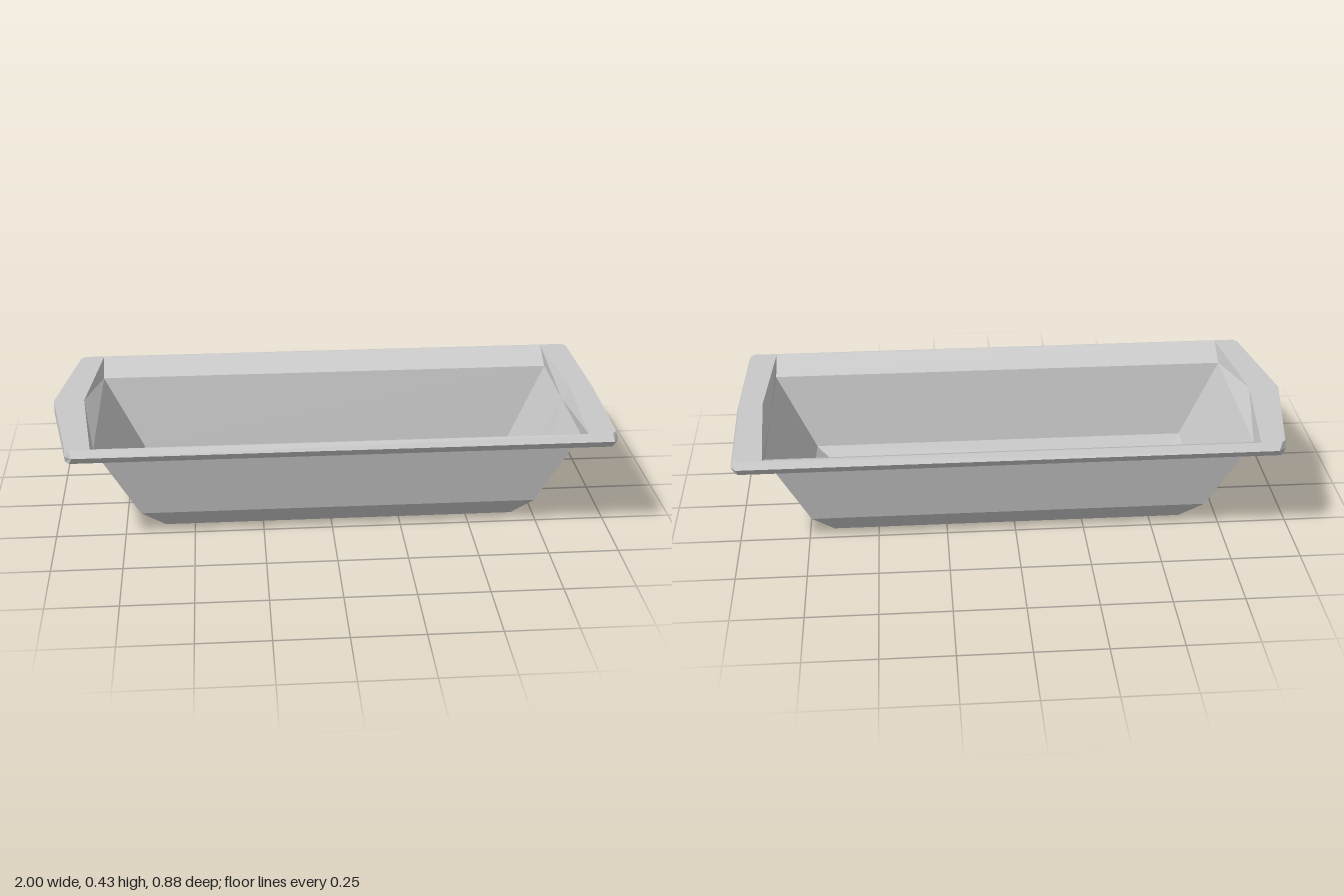
import * as THREE from 'three';

// Closed ring at height y from its half outline (left middle, along +z, right middle), mirrored in z
function ring(y, half) {
  const front = half.map(([x, z]) => new THREE.Vector3(x, y, z));
  const back = half.slice(1, -1).reverse().map(([x, z]) => new THREE.Vector3(x, y, -z));
  return [...front, ...back];
}

// Skin joining successive rings, dropping collapsed triangles
function loft(rings) {
  const pos = [];
  const tri = (a, b, c) => {
    if (a.equals(b) || b.equals(c) || c.equals(a)) return;
    for (const p of [a, b, c]) pos.push(p.x, p.y, p.z);
  };
  for (let r = 0; r < rings.length - 1; r++) {
    const a = rings[r], b = rings[r + 1], n = a.length;
    for (let i = 0; i < n; i++) {
      const j = (i + 1) % n;
      // mirror the diagonal on the back half
      if (i < n / 2) {
        tri(a[i], a[j], b[j]);
        tri(a[i], b[j], b[i]);
      } else {
        tri(a[i], a[j], b[i]);
        tri(a[j], b[j], b[i]);
      }
    }
  }
  const g = new THREE.BufferGeometry();
  g.setAttribute('position', new THREE.Float32BufferAttribute(pos, 3));
  g.computeVertexNormals();
  return g;
}

export function createModel() {
  const model = new THREE.Group();
  model.name = 'bathtub';
  const enamel = new THREE.MeshStandardMaterial({
    color: 0xc8c8c8, flatShading: true, side: THREE.DoubleSide,
  });
  enamel.name = 'grey enamel';
  const add = (name, geometry) => {
    const mesh = new THREE.Mesh(geometry, enamel);
    mesh.name = name;
    model.add(mesh);
  };

  // Basin: floor, two chamfers and steep walls, slightly bowed at the right-hand end
  add('basin', loft([
    ring(0, [[-0.555, 0], [-0.555, 0], [0.6, 0], [0.6, 0]]),
    ring(0, [[-0.555, 0], [-0.555, 0.155], [0.612, 0.155], [0.6, 0]]),
    ring(0.025, [[-0.59, 0], [-0.605, 0.23], [0.66, 0.23], [0.64, 0]]),
    ring(0.095, [[-0.69, 0], [-0.69, 0.273], [0.737, 0.273], [0.745, 0]]),
    ring(0.375, [[-0.84, 0], [-0.84, 0.325], [0.88, 0.325], [0.88, 0]]),
  ]));

  // Rim: flat underside, bevelled edge, narrow top and a slope down into the basin
  const seat = ring(0.375, [[-0.84, 0], [-0.84, 0.325], [-0.84, 0.325],
    [0.88, 0.325], [0.88, 0.325], [0.88, 0]]);
  const edge = [[-1, 0], [-0.93, 0.408], [-0.915, 0.427], [0.965, 0.427], [0.98, 0.408], [0.99, 0]];
  add('rim', loft([
    seat,
    ring(0.375, edge),
    ring(0.4, [[-1, 0], [-0.93, 0.42], [-0.905, 0.442], [0.97, 0.442], [0.988, 0.415], [1, 0]]),
    ring(0.425, edge),
    ring(0.425, [[-0.89, 0], [-0.842, 0.422], [-0.842, 0.422],
      [0.88, 0.422], [0.88, 0.422], [0.906, 0]]),
    seat,
  ]));

  return model;
}
